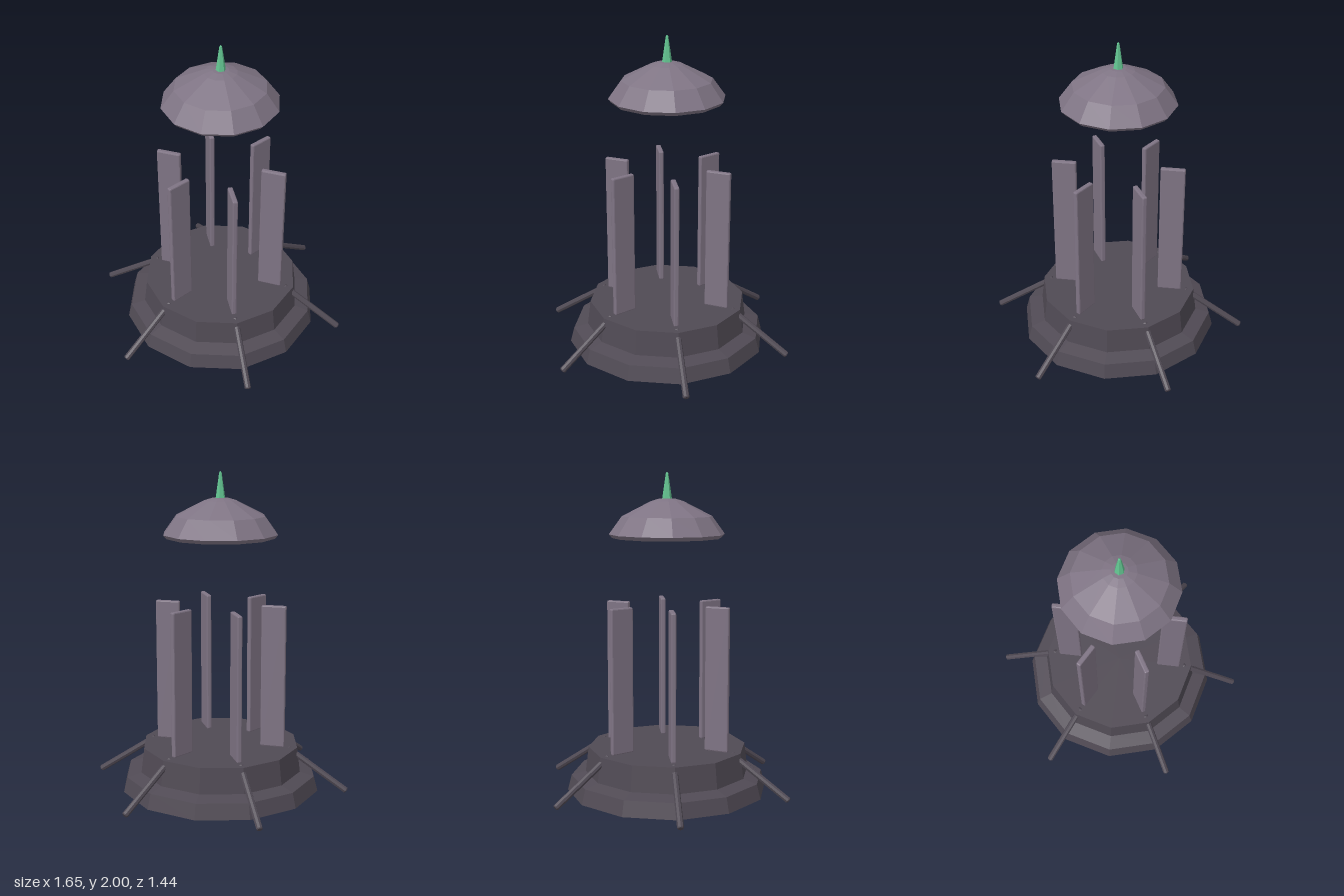
import * as THREE from 'three';
import { RoundedBoxGeometry } from 'three/addons/geometries/RoundedBoxGeometry.js';

const mat = (name, color) => new THREE.MeshStandardMaterial({ name, color, flatShading: true });

// Revolve an [radius, height] profile, listed from the bottom up the outside
const turned = (profile, sides) =>
  new THREE.LatheGeometry(profile.map(([r, y]) => new THREE.Vector2(r, y)), sides);

export function createModel() {
  const darkMetal = mat('dark metal', 0x504a54);
  const paleMetal = mat('pale metal', 0x7f7484);
  const green = mat('green crystal', 0x62c490);
  const model = new THREE.Group();

  const add = (name, geometry, material, parent = model) => {
    const mesh = new THREE.Mesh(geometry, material);
    mesh.name = name;
    parent.add(mesh);
    return mesh;
  };

  // Stepped twelve-sided base
  add('base', turned([
    [0, 0], [0.635, 0], [0.61, 0.095], [0.52, 0.118], [0.5, 0.277], [0, 0.277],
  ], 12), darkMetal);

  // Floating cap with a hollow underside
  add('cap', turned([
    [0, 1.75], [0.14, 1.72], [0.21, 1.65], [0.23, 1.597], [0.34, 1.597], [0.36, 1.62],
    [0.28, 1.73], [0.1, 1.822], [0.05, 1.837], [0, 1.84],
  ], 12), paleMetal);

  // Spire on the cap
  add('spire', turned([[0, 1.825], [0.032, 1.825], [0.008, 1.99], [0, 2]], 6), green);

  // Six upright blades, each with a sloping strut outside it
  const bladeShape = new RoundedBoxGeometry(0.155, 0.91, 0.032, 1, 0.008);
  const foot = new THREE.Vector3(0.818, 0.018, 0);
  const head = new THREE.Vector3(0.44, 0.27, 0);
  const axis = head.clone().sub(foot);
  const length = axis.length();
  const strutShape = turned([
    [0, 0], [0.015, 0], [0.02, 0.006], [0.02, length - 0.006], [0.015, length], [0, length],
  ], 8);
  for (let i = 0; i < 6; i++) {
    const arm = new THREE.Group();
    arm.name = 'arm' + (i + 1);
    arm.rotation.y = i * Math.PI / 3;
    model.add(arm);
    add('blade', bladeShape, paleMetal, arm).position.set(0.341, 0.73, 0);
    const strut = add('strut', strutShape, darkMetal, arm);
    strut.position.copy(foot);
    strut.quaternion.setFromUnitVectors(new THREE.Vector3(0, 1, 0), axis.clone().normalize());
  }
  return model;
}
